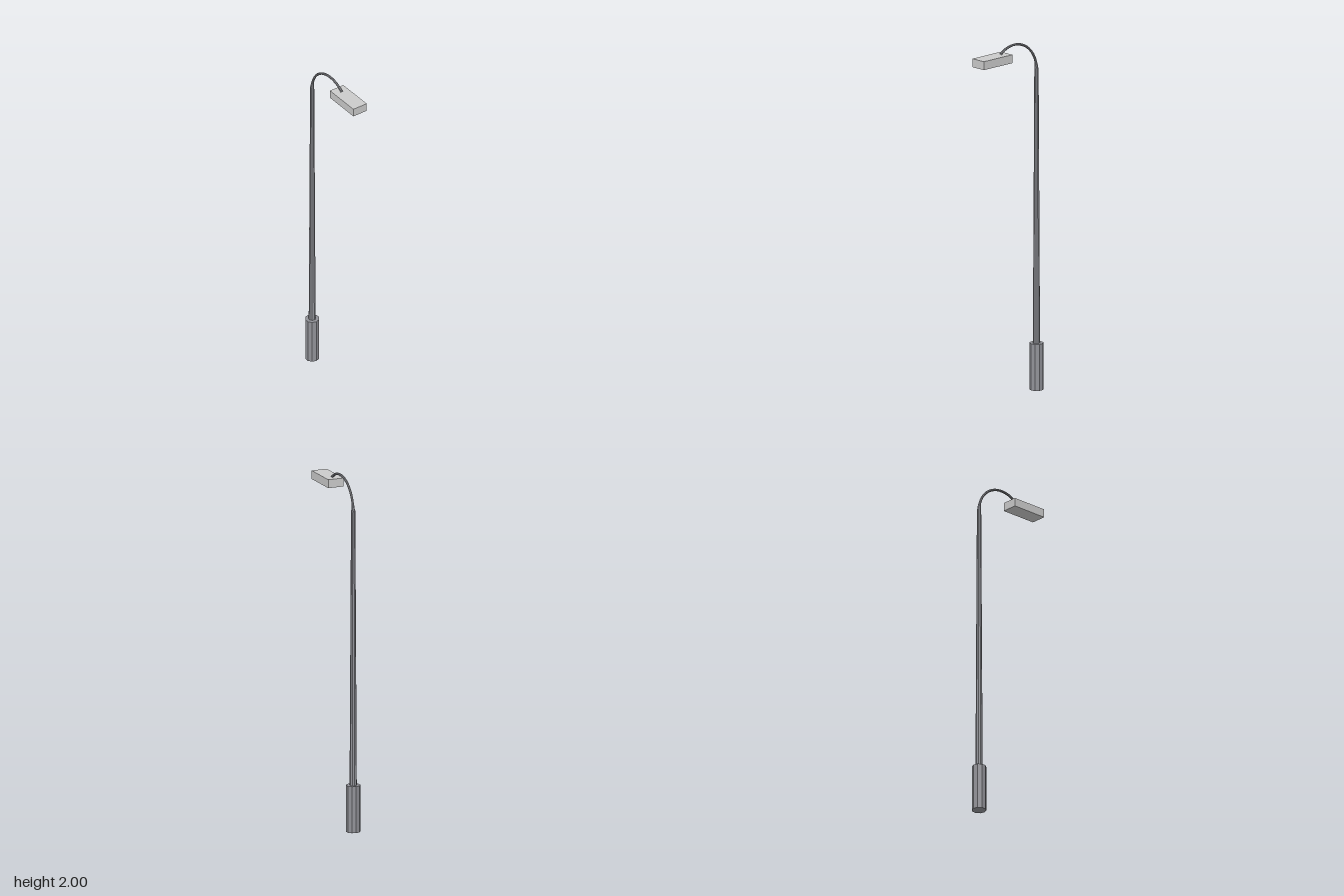
import * as THREE from 'three';

const POLE_Z = -0.205;
const SIDES = 10;

export function createModel() {
  const group = new THREE.Group();
  const metal = new THREE.MeshStandardMaterial({ color: 0x929399, flatShading: true });
  const grey = new THREE.MeshStandardMaterial({ color: 0xcccccc, flatShading: true });

  const add = (name, geometry, material, x, y, z) => {
    const mesh = new THREE.Mesh(geometry, material);
    mesh.name = name;
    mesh.position.set(x, y, z);
    group.add(mesh);
    return mesh;
  };

  // Upright cylinder between two heights on the pole axis
  const column = (name, y0, y1, r0, r1) =>
    add(name, new THREE.CylinderGeometry(r1, r0, y1 - y0, SIDES), metal, 0, (y0 + y1) / 2, POLE_Z);

  column('base', 0, 0.265, 0.04, 0.04);
  column('pole', 0.265, 1.83, 0.02, 0.012);

  // Curved arm: an arc from the pole top over to the lamp
  const R = 0.17, centreY = 1.823, centreZ = POLE_Z + R;
  const arc = [];
  for (let i = 0; i <= 16; i++) {
    const a = THREE.MathUtils.degToRad(180 - (129 * i) / 16);
    arc.push(new THREE.Vector3(0, centreY + R * Math.sin(a), centreZ + R * Math.cos(a)));
  }
  const curve = new THREE.CatmullRomCurve3(arc);
  const segments = 24, radial = 8;
  const armGeometry = new THREE.TubeGeometry(curve, segments, 0.007, radial);

  // Flare the foot of the arm so it meets the pole
  const pos = armGeometry.attributes.position;
  const v = new THREE.Vector3();
  for (let i = 0; i < pos.count; i++) {
    const t = Math.floor(i / (radial + 1)) / segments;
    const c = curve.getPointAt(t);
    const scale = 1 + 0.6 * Math.max(0, 1 - t / 0.12);
    v.fromBufferAttribute(pos, i).sub(c).multiplyScalar(scale).add(c);
    pos.setXYZ(i, v.x, v.y, v.z);
  }
  add('arm', armGeometry, metal, 0, 0, 0);

  // Lamp head
  add('lampHead', new THREE.BoxGeometry(0.091, 0.048, 0.219), grey, 0, 1.931, 0.132);

  return group;
}
